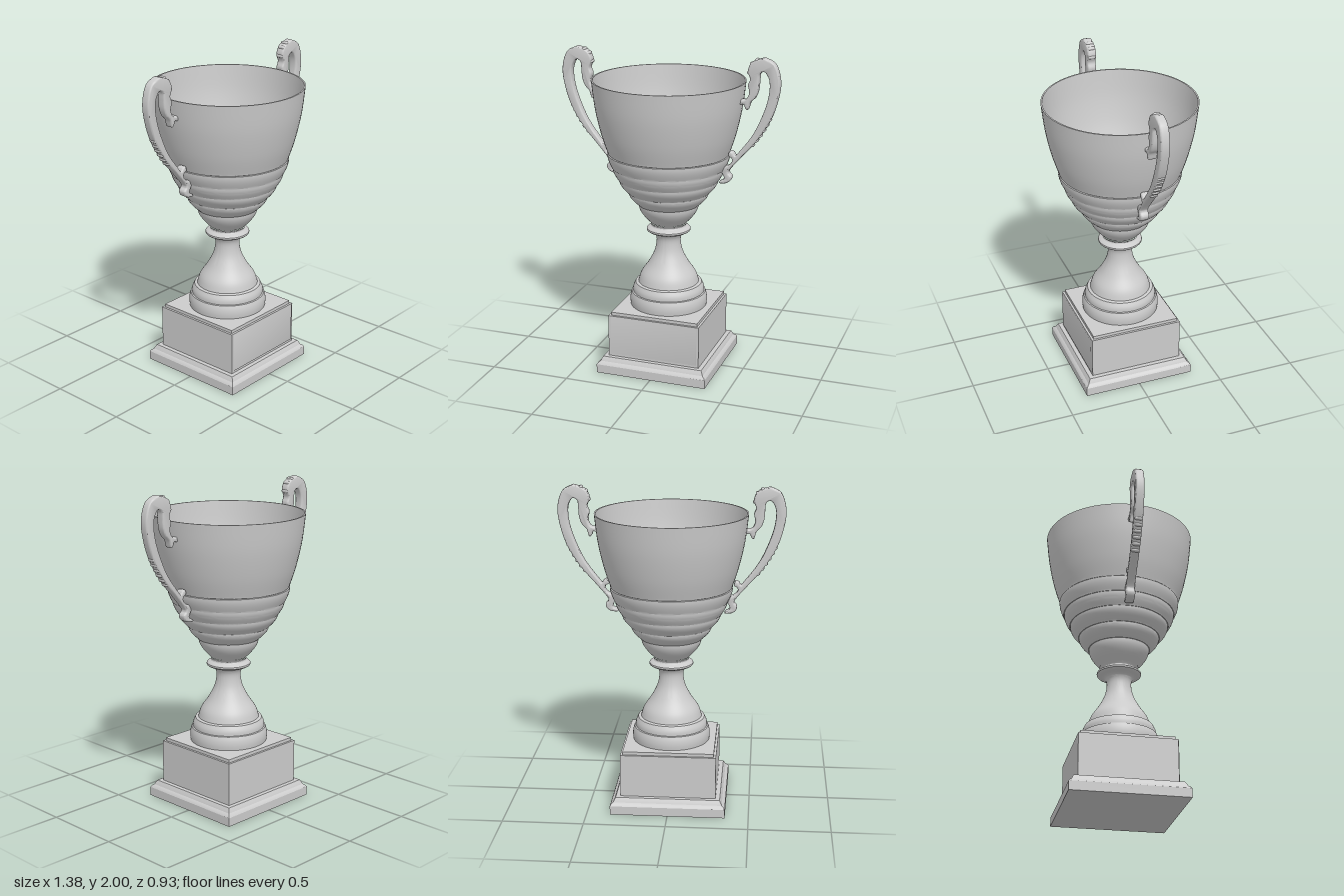
import * as THREE from 'three';
import { toCreasedNormals, mergeVertices } from 'three/addons/utils/BufferGeometryUtils.js';

const material = new THREE.MeshStandardMaterial({ color: 0xcccccc });
const V = (p) => new THREE.Vector2(p[0], p[1]);
const smooth = (pts, n) => new THREE.SplineCurve(pts.map(V)).getPoints(n);

function add(parent, name, geometry) {
  const mesh = new THREE.Mesh(geometry, material);
  mesh.name = name;
  parent.add(mesh);
  return mesh;
}

function turned(points, sides = 72, start = 0) {
  return toCreasedNormals(new THREE.LatheGeometry(points, sides, start), 0.5);
}

// Stepped rings below, smooth flared wall above, hollow with a shallow floor
function bowlGeometry() {
  const rings = [[0.93, 1.05, 0.187], [1.05, 1.13, 0.25], [1.13, 1.21, 0.306], [1.21, 1.29, 0.345], [1.29, 1.375, 0.376]];
  const pts = [V([0, 0.93])];
  let inner = 0.112;
  for (const [y0, y1, r] of rings) {
    for (let i = 0; i <= 8; i++) {
      const t = i / 8;
      pts.push(V([inner + (r - inner) * Math.sin(t * Math.PI / 2), y0 + (y1 - y0) * t]));
    }
    inner = r + 0.004;
    pts.push(V([r - 0.008, y1 + 0.002]));
  }
  pts.push(...smooth([[0.372, 1.38], [0.411, 1.5], [0.446, 1.66], [0.466, 1.83]], 16));
  pts.push(...smooth([[0.457, 1.83], [0.436, 1.66], [0.4, 1.5], [0.357, 1.375]], 16));
  pts.push(V([0.34, 1.367]), V([0, 1.362]));
  return turned(pts);
}

// Flared foot, narrow neck and collar
function stemGeometry() {
  return turned([
    V([0.24, 0.39]),
    ...smooth([[0.24, 0.39], [0.243, 0.42], [0.24, 0.45], [0.232, 0.475]], 8),
    ...smooth([[0.224, 0.478], [0.222, 0.505], [0.208, 0.535]], 6),
    ...smooth([[0.19, 0.54], [0.172, 0.595], [0.125, 0.665], [0.088, 0.74], [0.075, 0.81], [0.084, 0.85], [0.105, 0.866]], 28),
    ...smooth([[0.118, 0.868], [0.135, 0.878], [0.135, 0.892], [0.118, 0.902]], 8),
    ...smooth([[0.11, 0.906], [0.107, 0.915], [0.12, 0.932]], 6),
  ]);
}

// Square base: a moulded profile carried round four sides
function baseGeometry() {
  const pts = [[0, 0], [0.355, 0], [0.355, 0.055], [0.348, 0.066], [0.336, 0.074], [0.331, 0.086], [0.322, 0.102],
    [0.295, 0.102], [0.295, 0.37], [0.281, 0.37], [0.281, 0.39], [0, 0.39]];
  return turned(pts.map(([r, y]) => V([r * Math.SQRT2, y])), 4, Math.PI / 4);
}

// Scrolled outline of one handle, clockwise from the top
const outline = [
  [0.59, 1.995], [0.655, 1.96], [0.686, 1.87], [0.68, 1.77], [0.637, 1.63], [0.555, 1.495], [0.46, 1.385],
  [0.4, 1.315], [0.385, 1.285], [0.403, 1.262], [0.396, 1.235], [0.37, 1.217], [0.33, 1.214], [0.333, 1.228],
  [0.358, 1.245], [0.35, 1.272], [0.335, 1.295], [0.347, 1.315], [0.385, 1.332], [0.405, 1.355],
  [0.402, 1.378], [0.383, 1.39], [0.39, 1.418], [0.413, 1.412], [0.425, 1.395], [0.445, 1.415],
  [0.53, 1.53], [0.59, 1.66], [0.622, 1.77], [0.625, 1.86], [0.597, 1.912], [0.567, 1.9], [0.562, 1.86],
  [0.557, 1.8], [0.54, 1.755], [0.512, 1.725], [0.498, 1.682], [0.482, 1.69], [0.472, 1.713],
  [0.45, 1.71], [0.449, 1.738], [0.485, 1.745], [0.505, 1.785], [0.496, 1.83], [0.508, 1.868],
  [0.493, 1.915], [0.52, 1.97],
];

// Raised ribs on the outer curve and across the curled head
const ribs = [
  [0.628, 1.628], [0.612, 1.595], [0.594, 1.562], [0.574, 1.53], [0.552, 1.498], [0.528, 1.468],
  [0.5, 1.905], [0.515, 1.955], [0.545, 1.978], [0.508, 1.83], [0.513, 1.79],
];

function makeHandle() {
  const handle = new THREE.Group();
  const shape = new THREE.Shape();
  shape.moveTo(...outline[0]);
  shape.splineThru([...outline.slice(1), outline[0]].map(V));
  const body = new THREE.ExtrudeGeometry(new THREE.Shape(shape.getPoints(4).slice(0, -1)), {
    depth: 0.03, steps: 1, bevelEnabled: true, bevelThickness: 0.012, bevelSize: 0.008, bevelOffset: -0.008, bevelSegments: 3,
  });
  body.translate(0, 0, -0.015);
  add(handle, 'handleScroll', toCreasedNormals(body, 0.7));
  for (const [x, y] of ribs) {
    const rib = add(handle, 'handleRib', new THREE.CapsuleGeometry(0.012, 0.026, 4, 10));
    rib.rotation.x = Math.PI / 2;
    rib.position.set(x, y, 0);
  }
  handle.position.z = -0.005;
  return handle;
}

export function createModel() {
  const model = new THREE.Group();
  model.name = 'trophyCup';
  add(model, 'base', baseGeometry());
  add(model, 'stem', stemGeometry());
  add(model, 'bowl', bowlGeometry());

  // Softly shaded front plate
  let plate = new THREE.BoxGeometry(0.56, 0.248, 0.02);
  plate.deleteAttribute('normal');
  plate.deleteAttribute('uv');
  plate = mergeVertices(plate);
  plate.computeVertexNormals();
  add(model, 'frontPlate', plate).position.set(0, 0.243, 0.291);

  // Matching handles, the second turned to the other side
  const left = makeHandle();
  left.name = 'leftHandle';
  const right = makeHandle();
  right.name = 'rightHandle';
  right.rotation.y = Math.PI;
  model.add(left, right);
  return model;
}
